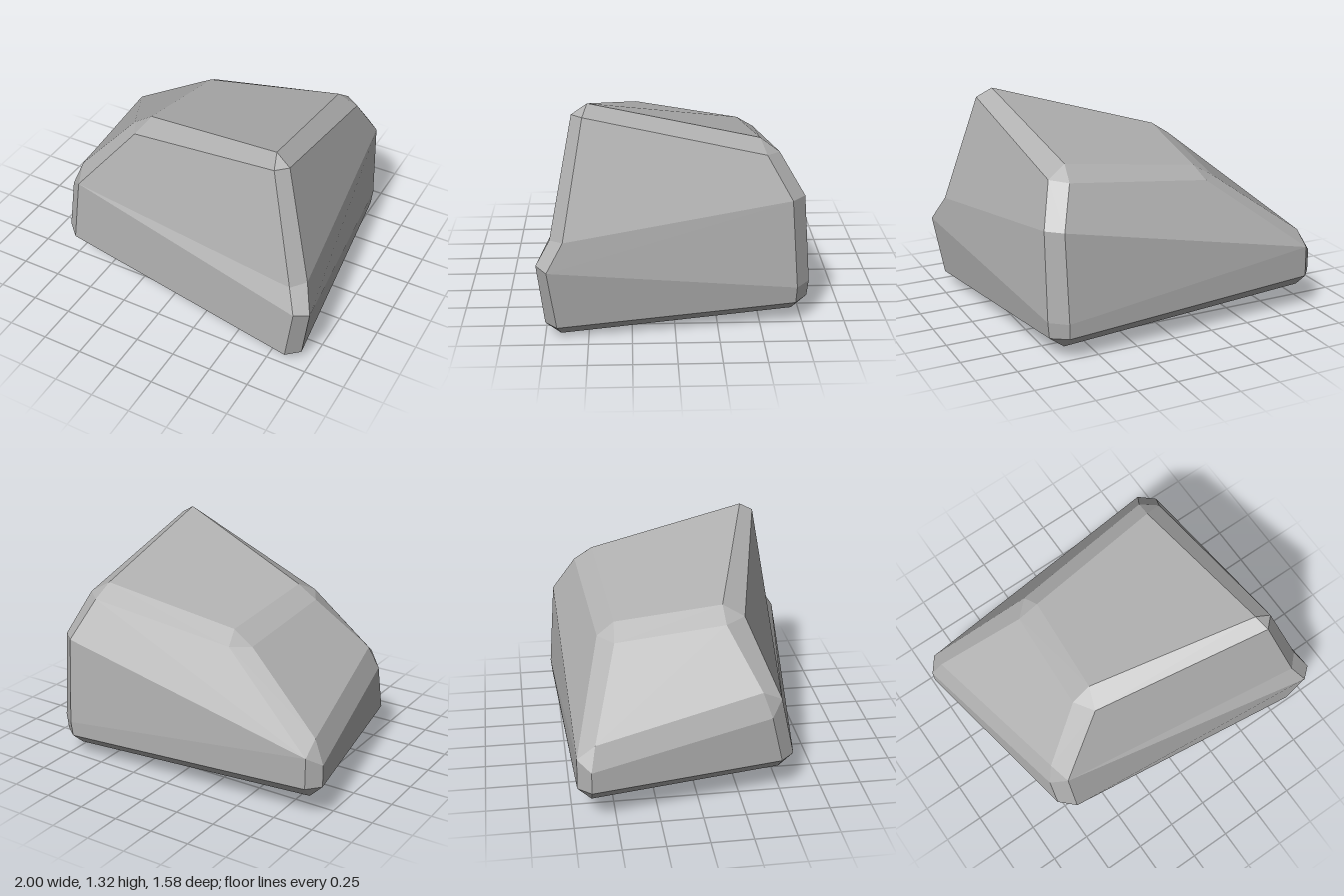
import * as THREE from 'three';

// Four bevelled corners, walked around the rock. Each has a bottom cap point, a top cap point
// and two edge columns (a, b) of four points from low to high.
const corners = [
  { // front left
    bottom: [0.85, 0, 0.66], top: [0.645, 1.32, 0.49],
    a: [[0.865, 0.075, 0.75], [0.925, 0.457, 0.79], [0.86, 0.583, 0.712], [0.675, 1.265, 0.58]],
    b: [[0.943, 0.075, 0.68], [1, 0.44, 0.727], [0.935, 0.595, 0.635], [0.74, 1.265, 0.517]],
  },
  { // back left
    bottom: [0.69, 0.065, -0.69], top: [0.585, 1.09, -0.495],
    a: [[0.785, 0.14, -0.705], [0.795, 0.24, -0.71], [0.79, 0.775, -0.67], [0.7, 1.02, -0.527]],
    b: [[0.69, 0.145, -0.78], [0.695, 0.24, -0.79], [0.7, 0.775, -0.75], [0.605, 1.01, -0.607]],
  },
  { // back right
    bottom: [-0.92, 0.14, -0.64], top: [-0.28, 0.95, -0.435],
    a: [[-0.93, 0.22, -0.72], [-0.93, 0.41, -0.717], [-0.93, 0.41, -0.717], [-0.31, 0.88, -0.54]],
    b: [[-1, 0.22, -0.64], [-1, 0.355, -0.64], [-0.93, 0.49, -0.61], [-0.41, 0.87, -0.445]],
  },
  { // front right
    bottom: [-0.715, 0.14, 0.495], top: [-0.335, 1.045, 0.21],
    a: [[-0.795, 0.22, 0.5], [-0.795, 0.51, 0.435], [-0.745, 0.655, 0.385], [-0.455, 0.965, 0.215]],
    b: [[-0.705, 0.215, 0.587], [-0.705, 0.585, 0.507], [-0.705, 0.585, 0.507], [-0.38, 0.98, 0.338]],
  },
];

const centre = new THREE.Vector3(0, 0.5, 0);

function createModel() {
  const positions = [], normals = [];

  // One facet: a triangle or quad with a single shared normal, folded outwards if not planar
  function facet(...points) {
    let p = points.map((q) => new THREE.Vector3(...q));
    p = p.filter((v, i) => v.distanceTo(p[(i + 1) % p.length]) > 1e-5);
    if (p.length < 3) return;
    const n = new THREE.Vector3(), mid = new THREE.Vector3();
    p.forEach((v, i) => {
      n.add(v.clone().cross(p[(i + 1) % p.length]));
      mid.addScaledVector(v, 1 / p.length);
    });
    n.normalize();
    if (n.dot(mid.sub(centre)) < 0) { n.negate(); p.reverse(); }
    if (p.length === 4) {
      const bulge = p[0].clone().add(p[2]).sub(p[1]).sub(p[3]).dot(n);
      if (bulge < 0) p.push(p.shift());
    }
    for (let i = 1; i < p.length - 1; i++) {
      for (const v of [p[0], p[i], p[i + 1]]) {
        positions.push(v.x, v.y, v.z);
        normals.push(n.x, n.y, n.z);
      }
    }
  }

  // Bottom and top
  facet(...corners.map((c) => c.bottom));
  facet(...corners.map((c) => c.top));

  corners.forEach((c, i) => {
    const d = corners[(i + 1) % 4];
    // Corner bevel strip and the side face up to the next corner
    for (let k = 0; k < 3; k++) {
      facet(c.a[k], c.b[k], c.b[k + 1], c.a[k + 1]);
      facet(c.b[k], d.a[k], d.a[k + 1], c.b[k + 1]);
    }
    // Bevels around the bottom and the top
    facet(c.bottom, c.a[0], c.b[0]);
    facet(c.top, c.a[3], c.b[3]);
    facet(c.bottom, d.bottom, d.a[0], c.b[0]);
    facet(c.top, d.top, d.a[3], c.b[3]);
  });

  const geometry = new THREE.BufferGeometry();
  geometry.setAttribute('position', new THREE.Float32BufferAttribute(positions, 3));
  geometry.setAttribute('normal', new THREE.Float32BufferAttribute(normals, 3));

  const stone = new THREE.MeshStandardMaterial({ color: 0xb0b0b0 });
  stone.name = 'stone grey';
  const rock = new THREE.Mesh(geometry, stone);
  rock.name = 'rock';

  const group = new THREE.Group();
  group.name = 'boulder';
  group.add(rock);
  return group;
}

export { createModel };
